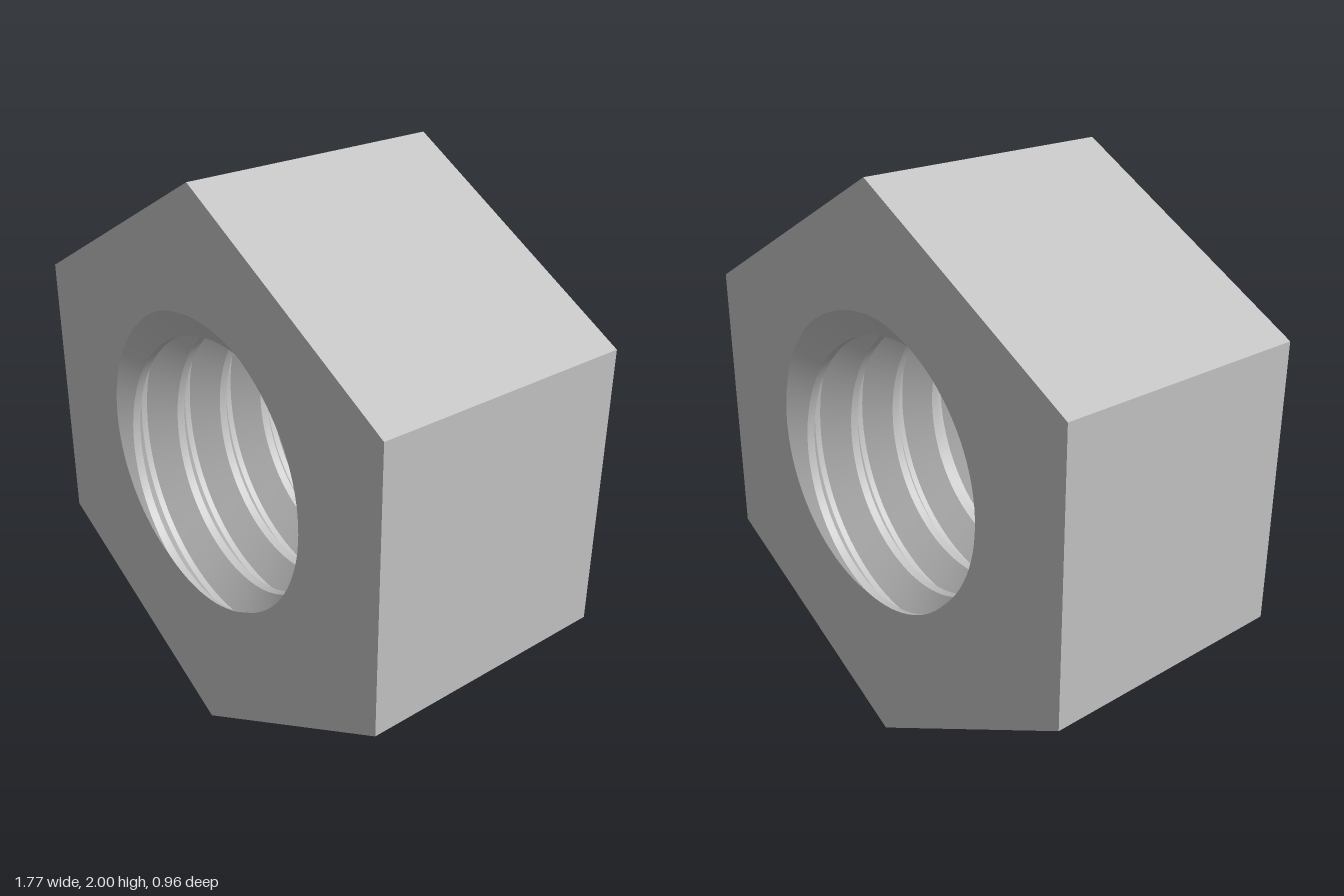
import * as THREE from 'three';
import { toCreasedNormals } from 'three/addons/utils/BufferGeometryUtils.js';

const HALF = 0.48, PITCH = 0.19, CREST = 0.47, ROOT = 0.57, SEG = 96;
const HEX = [[0, 1], [-0.885, 0.5], [-0.885, -0.5], [0, -1], [0.885, -0.5], [0.885, 0.5]];
// one turn of the thread: [fraction of pitch, radius]
const PROFILE = [[0, ROOT], [0.06, ROOT], [0.42, CREST], [0.58, CREST], [0.94, ROOT], [1, ROOT]];

// axial position of the groove centre at a given angle
const grooveZ = (a) => HALF + PITCH * (a / (2 * Math.PI) - 0.25);

// right-handed helical thread radius
function threadRadius(a, z) {
  let t = (grooveZ(a) - z) / PITCH;
  t -= Math.floor(t);
  for (let i = 1; i < PROFILE.length; i++) {
    const [t0, r0] = PROFILE[i - 1], [t1, r1] = PROFILE[i];
    if (t <= t1) return r0 + (r1 - r0) * (t - t0) / (t1 - t0);
  }
  return ROOT;
}

// threaded wall: rows follow the helix and are trimmed at both end faces
function threadGeometry() {
  const pos = [], idx = [], cols = SEG + 1;
  let rows = 0;
  for (let turn = -2; turn < 8; turn++) {
    for (const [t] of PROFILE.slice(0, -1)) {
      for (let j = 0; j <= SEG; j++) {
        const a = j / SEG * Math.PI * 2;
        const z = THREE.MathUtils.clamp(grooveZ(a) - PITCH * (turn + t), -HALF, HALF);
        const r = threadRadius(a, z);
        pos.push(r * Math.cos(a), r * Math.sin(a), z);
      }
      rows++;
    }
  }
  for (let i = 0; i < rows - 1; i++) {
    for (let j = 0; j < SEG; j++) {
      const a = i * cols + j, b = a + 1, c = a + cols, d = c + 1;
      const z = (k) => pos[k * 3 + 2];
      if (z(a) !== z(c)) idx.push(a, b, c);
      if (z(b) !== z(d)) idx.push(b, d, c);
    }
  }
  const g = new THREE.BufferGeometry();
  g.setAttribute('position', new THREE.Float32BufferAttribute(pos, 3));
  g.setIndex(idx);
  return toCreasedNormals(g, 0.5);
}

// flat hexagonal end face whose opening follows the thread run-out
function endFace(z) {
  const dir = Math.sign(z);
  const shape = new THREE.Shape(HEX.map(([x, y]) => new THREE.Vector2(x, y)));
  const hole = [];
  for (let j = 0; j < SEG; j++) {
    const a = j / SEG * Math.PI * 2, r = threadRadius(a, z);
    hole.push(new THREE.Vector2(dir * r * Math.cos(a), r * Math.sin(a)));
  }
  shape.holes.push(new THREE.Path(hole));
  const g = new THREE.ShapeGeometry(shape);
  g.translate(0, 0, HALF);
  if (dir < 0) g.rotateY(Math.PI);
  return g;
}

// six flat outer sides
function sidesGeometry() {
  const pts = [];
  HEX.forEach(([x0, y0], i) => {
    const [x1, y1] = HEX[(i + 1) % 6];
    const p = (x, y, z) => new THREE.Vector3(x, y, z);
    const a = p(x0, y0, HALF), b = p(x0, y0, -HALF), c = p(x1, y1, -HALF), d = p(x1, y1, HALF);
    pts.push(a, b, c, a, c, d);
  });
  const g = new THREE.BufferGeometry().setFromPoints(pts);
  g.computeVertexNormals();
  return g;
}

export function createModel() {
  const steel = new THREE.MeshStandardMaterial({ color: 0xc0c0c0 });
  steel.name = 'steel grey';
  const group = new THREE.Group();
  group.name = 'hexNut';
  const add = (name, geometry) => {
    const mesh = new THREE.Mesh(geometry, steel);
    mesh.name = name;
    mesh.position.y = 1;
    group.add(mesh);
  };
  add('outerSides', sidesGeometry());
  add('frontFace', endFace(HALF));
  add('backFace', endFace(-HALF));
  add('innerThread', threadGeometry());
  return group;
}
